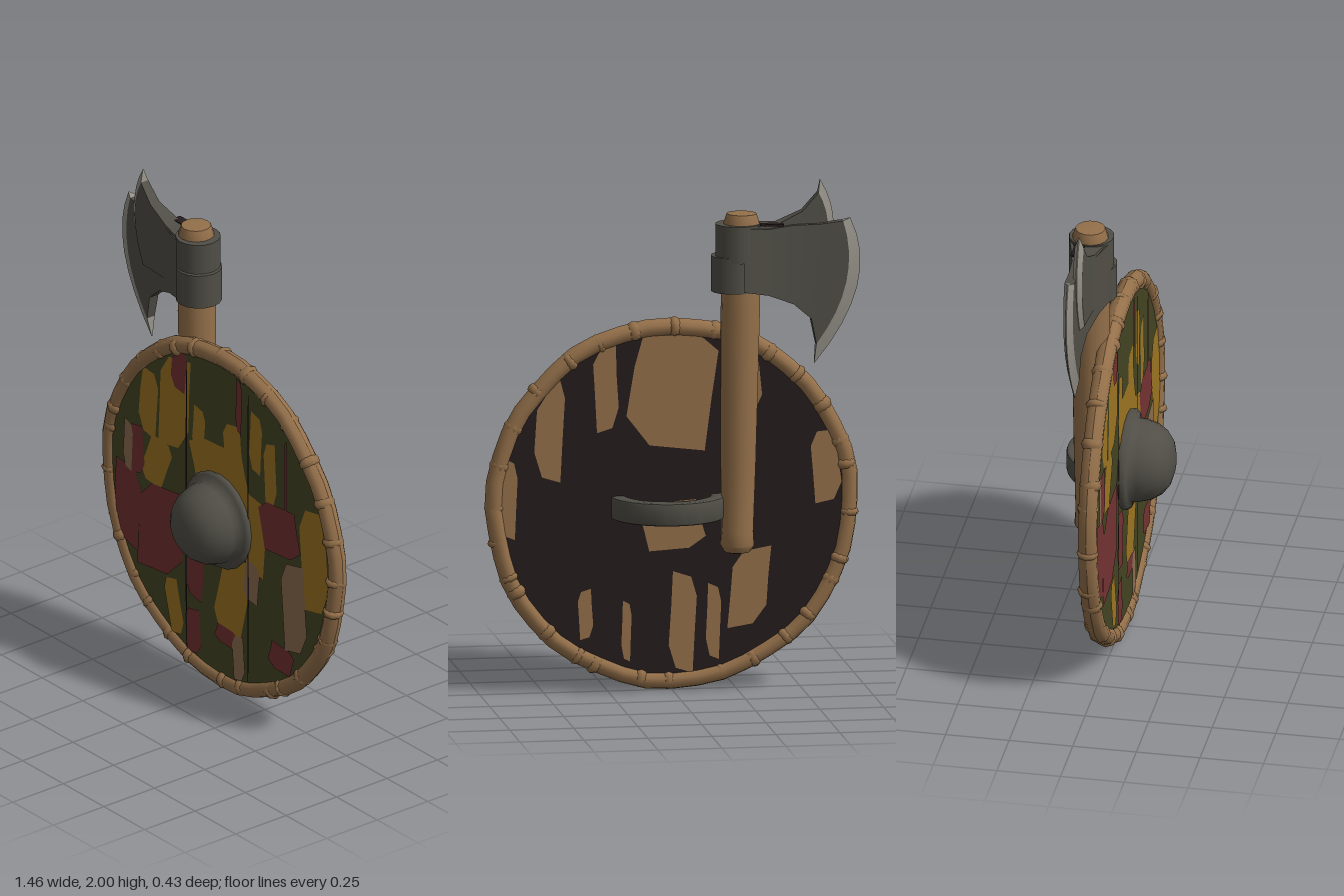
import * as THREE from 'three';
import { toCreasedNormals } from 'three/addons/utils/BufferGeometryUtils.js';

const mat = (name, color) => Object.assign(new THREE.MeshStandardMaterial({ color }), { name });
const M = {
  wood: mat('wood', 0x94704a), dark: mat('dark wood', 0x261c1d), olive: mat('olive paint', 0x434422),
  gold: mat('gold paint', 0x9c7522), red: mat('red paint', 0x723331), tan: mat('bare board', 0x8c6c50),
  iron: mat('iron', 0x504e46), steel: mat('sharpened steel', 0x959188),
};
const CY = 0.735; // height of the shield centre

function add(parent, name, geo, material, x = 0, y = 0, z = 0) {
  const m = new THREE.Mesh(geo, material);
  m.name = name;
  m.position.set(x, y, z);
  parent.add(m);
  return m;
}

// Ragged flake of paint: one splintered outline, sized, leaned and kept inside the board
const FLAKE = [[-.7, 1], [.6, .88], [1, .5], [.85, -.2], [.7, -1], [-.5, -.9], [-1, -.45], [-.82, .3]];
function flakeGeo([x, y, halfW, halfH, lean = 0], mirror) {
  const pts = FLAKE.map(([u, v]) =>
    new THREE.Vector2(x + (mirror ? -u : u) * halfW + v * lean, y - CY + v * halfH).clampLength(0, 0.67));
  return new THREE.ShapeGeometry(new THREE.Shape(pts));
}

// Flakes: x, y, half width, half height, lean
const PAINT = {
  gold: [[-.44, 1.07, .06, .15], [-.28, 1.13, .1, .21, .03], [-.39, .83, .08, .11, .03], [0, .94, .19, .12],
    [-.13, 1.07, .04, .1], [.08, 1.06, .06, .12], [.22, 1.15, .04, .13], [.31, 1.05, .04, .14],
    [.21, .75, .08, .17], [.58, .78, .09, .23], [.08, .43, .1, .2, .03], [-.28, .25, .05, .12, -.02]],
  red: [[-.25, 1.29, .05, .1], [-.51, .84, .05, .11], [-.57, .58, .09, .18], [-.36, .55, .15, .2, .04],
    [-.15, .46, .06, .13], [-.16, .19, .05, .1], [.04, .245, .07, .04], [.37, .83, .13, .11],
    [.12, 1.27, .02, .12], [.408, 1.06, .01, .18], [.38, .28, .08, .06]],
  tan: [[-.56, .84, .03, .11], [.46, .53, .08, .2], [.2, .54, .05, .09], [.12, .18, .04, .1]],
  dark: [[-.2, CY, .005, .64], [.18, CY, .004, .64]],
};
// Bare wood on the back, as seen from behind with x reversed
const BARE = [[0, 1.2, .18, .26], [.28, 1.23, .07, .17], [-.48, 1.05, .06, .22], [-.26, 1.2, .05, .18],
  [-.64, .77, .035, .16], [0, .65, .13, .1], [.04, .27, .055, .2], [.3, .4, .08, .16, .03],
  [.16, .27, .03, .15], [.6, .87, .06, .15], [-.18, .24, .02, .12], [-.34, .31, .03, .1]];

// Closed loft through stations [bottom, middle, top, half thickness, z]
function loft(stations) {
  const n = 8, ring = 2 * n + 2, pos = [], idx = [];
  for (const [b, m, t, h, z] of stations) {
    for (let j = 0; j < ring; j++) {
      const front = j <= n, v = (front ? j : ring - 1 - j) / n;
      const mix = k => b[k] * (1 - v) * (1 - 2 * v) + m[k] * 4 * v * (1 - v) + t[k] * v * (2 * v - 1);
      pos.push(mix(0), mix(1), z + (front ? h : -h));
    }
  }
  for (let i = 0; i < stations.length - 1; i++) {
    for (let j = 0; j < ring; j++) {
      const k = (j + 1) % ring, a = i * ring, b = a + ring;
      idx.push(b + j, a + j, a + k, b + j, a + k, b + k);
    }
  }
  const e = (stations.length - 1) * ring;
  for (let j = 0; j < n; j++) {
    const f = e + j, k = e + ring - 1 - j;
    idx.push(k, f, f + 1, k, f + 1, k - 1);
  }
  const g = new THREE.BufferGeometry();
  g.setAttribute('position', new THREE.Float32BufferAttribute(pos, 3));
  g.setIndex(idx);
  return toCreasedNormals(g, 0.5);
}
const column = (x, y0, y1, h, z) => [[x, y0], [x, (y0 + y1) / 2], [x, y1], h, z];
const lathe = (profile, sides) => new THREE.LatheGeometry(profile.map(q => new THREE.Vector2(...q)), sides);

function createShield() {
  const g = new THREE.Group();
  g.name = 'shield';
  g.position.y = CY;
  const board = new THREE.CylinderGeometry(0.685, 0.685, 0.04, 40).rotateX(Math.PI / 2);
  add(g, 'board', board, [M.wood, M.olive, M.dark]);

  // Paint on the front, bare wood on the back
  let layer = 0.021;
  for (const [colour, flakes] of Object.entries(PAINT)) {
    flakes.forEach((f, i) => add(g, 'paintFlake', flakeGeo(f, i % 2), M[colour], 0, 0, layer += 0.0002));
  }
  BARE.forEach((f, i) => {
    add(g, 'bareWood', flakeGeo(f, i % 2), M.wood, 0, 0, -0.0215 - i * 0.0002).rotation.y = Math.PI;
  });

  // Uneven wrapped rim with knots
  const rim = new THREE.TorusGeometry(0.694, 0.035, 10, 44), p = rim.attributes.position;
  for (let i = 0; i < p.count; i++) {
    const a = Math.atan2(p.getY(i), p.getX(i));
    const s = 1 + 0.005 * Math.sin(7 * a) + 0.004 * Math.sin(13 * a + 1);
    p.setXYZ(i, p.getX(i) * s, p.getY(i) * s, p.getZ(i) * 1.08);
  }
  rim.computeVertexNormals();
  add(g, 'rim', rim, M.wood);
  let seed = 7;
  const rand = () => (seed = (seed * 16807) % 2147483647) / 2147483647;
  for (let i = 0; i < 30; i++) {
    const a = (i + 0.7 * rand()) / 30 * Math.PI * 2;
    const knot = add(g, 'rimKnot', new THREE.SphereGeometry(0.04, 8, 6), M.wood,
      0.692 * Math.cos(a), 0.692 * Math.sin(a), (rand() - 0.5) * 0.012);
    knot.rotation.z = a;
    knot.scale.set(1.02, 0.5 + 0.4 * rand(), 1.1);
  }

  // Domed iron boss
  const boss = lathe([[.195, .018], [.2, .035], [.19, .05], [.165, .056], [.163, .085], [.15, .13],
    [.125, .168], [.09, .195], [.045, .208], [0, .21]], 20);
  add(g, 'boss', boss.rotateX(Math.PI / 2), M.iron);

  // Bowed grip on the back
  const bow = new THREE.Shape();
  bow.absellipse(0, 0, 0.215, 0.205, 0, Math.PI, false);
  bow.absellipse(0, 0, 0.175, 0.165, Math.PI, 0, true);
  const grip = new THREE.ExtrudeGeometry(bow, {
    depth: 0.066, curveSegments: 20, bevelSize: 0.01, bevelThickness: 0.012, bevelSegments: 2,
  });
  add(g, 'grip', toCreasedNormals(grip.rotateX(-Math.PI / 2), 0.7), M.iron, 0.015, -0.043, 0);
  return g;
}

function createAxe() {
  const g = new THREE.Group();
  g.name = 'axe';
  const wood = lathe([[0, .55], [.05, .55], [.066, .575], [.062, .63], [.068, .9], [.076, 1.5],
    [.07, 1.84], [.058, 1.877], [0, 1.882]], 14);
  add(g, 'shaft', toCreasedNormals(wood, 0.7), M.wood, -0.236, 0, -0.072).rotation.z = 0.014;
  add(g, 'shaftEnd', new THREE.CylinderGeometry(0.035, 0.035, 0.006, 10), M.dark, -0.243, 0.549, -0.072);
  add(g, 'upperCollar', new THREE.CylinderGeometry(0.088, 0.088, 0.145, 16), M.iron, -0.248, 1.765, -0.07);
  add(g, 'lowerCollar', new THREE.CylinderGeometry(0.09, 0.09, 0.14, 16), M.iron, -0.234, 1.643, -0.063);

  // Lower blade with its bevel
  const bevel = [[-.55, 1.36], [-.667, 1.6], [-.655, 1.84], .019, -.08];
  add(g, 'lowerBlade', loft([column(-.26, 1.58, 1.83, .086, -.07), column(-.36, 1.56, 1.82, .055, -.073),
    column(-.46, 1.52, 1.83, .03, -.077), [[-.53, 1.46], [-.56, 1.64], [-.56, 1.83], .022, -.079], bevel]), M.iron);
  add(g, 'lowerEdge', loft([bevel, [[-.543, 1.28], [-.712, 1.58], [-.685, 1.85], .002, -.08]]), M.steel);

  // Upper horn, set slightly forward
  const horn = [[-.55, 1.6], [-.6, 1.79], [-.562, 1.95], .018, -.058];
  add(g, 'upperHorn', loft([column(-.28, 1.66, 1.83, .07, -.07), column(-.4, 1.6, 1.835, .035, -.065),
    [[-.5, 1.6], [-.51, 1.74], [-.5, 1.88], .022, -.06], horn]), M.iron);
  add(g, 'hornEdge', loft([horn, [[-.565, 1.59], [-.624, 1.81], [-.57, 2], .002, -.058]]), M.steel);
  add(g, 'socketGap', new THREE.BoxGeometry(0.09, 0.008, 0.04), M.dark, -0.375, 1.834, -0.1);
  return g;
}

export function createModel() {
  const model = new THREE.Group();
  model.name = 'shieldAndAxe';
  model.add(createShield(), createAxe());
  return model;
}
